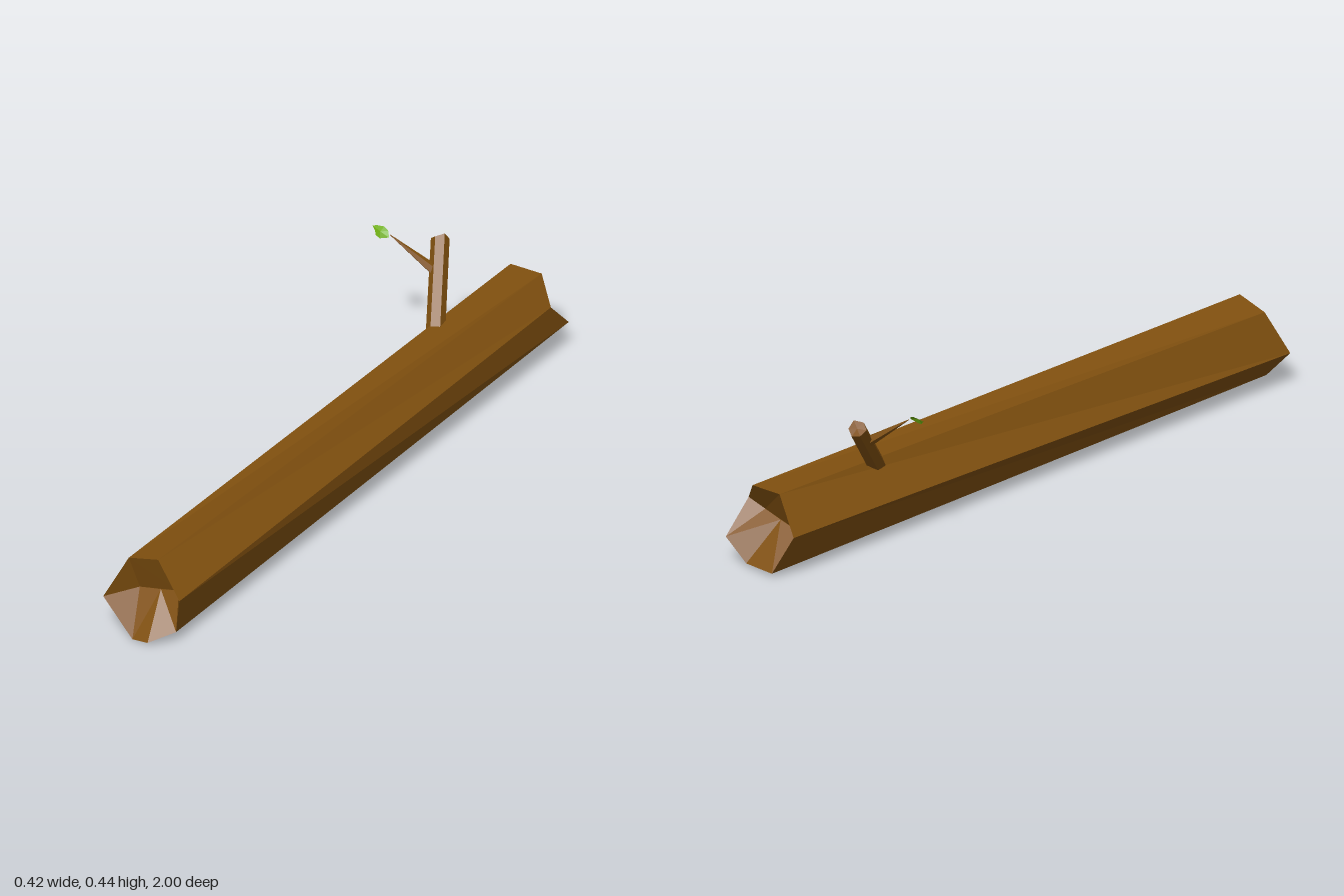
import * as THREE from 'three';

const bark = new THREE.MeshStandardMaterial({ color: 0x80500f, flatShading: true });
const leafGreen = new THREE.MeshStandardMaterial({ color: 0x6fae10, flatShading: true, side: THREE.DoubleSide });
const V = (p) => new THREE.Vector3(...p);

// Geometry from a list of triangles, each three [x, y, z] corners
function fromTriangles(tris) {
  const g = new THREE.BufferGeometry();
  g.setAttribute('position', new THREE.Float32BufferAttribute(tris.flat(2), 3));
  g.computeVertexNormals();
  return g;
}

// Trunk: two jagged seven-sided rims joined lengthwise, each end hollowed to a short ridge
function trunkGeometry() {
  const front = [[0.015, 0.22, 0.93], [0.112, 0.245, 0.93], [0.206, 0.16, 0.965], [0.175, 0.035, 0.935],
    [0.12, 0.012, 0.995], [0.063, 0, 0.985], [-0.04, 0.1, 0.975]];
  const back = [[0.04, 0.236, -0.95], [0.14, 0.235, -0.955], [0.2, 0.168, -0.91], [0.2, 0.076, -1],
    [0.135, 0.01, -0.985], [0.03, 0.012, -0.99], [-0.04, 0.136, -0.975]];
  const ridge = [[0.025, 0.11], [0.095, 0.125], [0.155, 0.14]];
  const target = [0, 2, 2, 2, 1, 1, 0]; // ridge point each rim corner runs to
  const tris = [];
  front.forEach((a, i) => {
    const j = (i + 1) % front.length;
    tris.push([a, front[j], back[j]], [a, back[j], back[i]]);
    for (const [rim, z] of [[front, 0.89], [back, -0.89]]) {
      const p = [...ridge[target[i]], z], q = [...ridge[target[j]], z];
      const cap = [[rim[j], rim[i], q]];
      if (target[i] !== target[j]) cap.push([rim[i], p, q]);
      cap.forEach((t) => tris.push(z > 0 ? t : t.reverse()));
    }
  });
  for (const z of [0.89, -0.89]) {
    const t = [2, 0, 1].map((k) => [...ridge[k], z]);
    tris.push(z > 0 ? [t[1], t[2], t[0]] : [t[0], t[2], t[1]]);
  }
  return fromTriangles(tris);
}

// Tapered faceted limb between two points
function limb(name, from, to, r0, r1, sides, jag = 0) {
  const a = V(from), b = V(to), d = b.clone().sub(a), len = d.length();
  const g = new THREE.CylinderGeometry(r1, r0, len, sides);
  const pos = g.attributes.position;
  // Uneven broken tip
  for (let i = 0; i < pos.count; i++) {
    const y = pos.getY(i);
    if (y > 0) pos.setY(i, y + jag * Math.sin(Math.atan2(pos.getZ(i), pos.getX(i)) * 2 + 0.6));
  }
  const mesh = new THREE.Mesh(g, bark);
  mesh.name = name;
  mesh.position.copy(a).add(b).multiplyScalar(0.5);
  mesh.quaternion.setFromUnitVectors(new THREE.Vector3(0, 1, 0), d.normalize());
  return mesh;
}

// Leaf: pointed outline fanned around a slightly raised middle, tilted to face up and forward
function leafGeometry() {
  const outline = [[-0.148, 0.421], [-0.158, 0.434], [-0.175, 0.44], [-0.197, 0.438], [-0.21, 0.434],
    [-0.197, 0.425], [-0.19, 0.417], [-0.175, 0.413]].map(([x, y]) => [x, y, -0.63 - (y - 0.427) * 0.85]);
  const middle = [-0.178, 0.43, -0.626];
  return fromTriangles(outline.map((p, i) => [middle, p, outline[(i + 1) % outline.length]]));
}

export function createModel() {
  const group = new THREE.Group();
  group.name = 'fallenLog';

  const trunk = new THREE.Mesh(trunkGeometry(), bark);
  trunk.name = 'trunk';
  const leaf = new THREE.Mesh(leafGeometry(), leafGreen);
  leaf.name = 'leaf';

  group.add(
    trunk,
    limb('branch', [0.047, 0.205, -0.562], [-0.053, 0.396, -0.738], 0.027, 0.026, 6, 0.006),
    limb('twig', [-0.03, 0.332, -0.672], [-0.152, 0.423, -0.636], 0.016, 0.001, 5),
    leaf,
  );
  return group;
}
